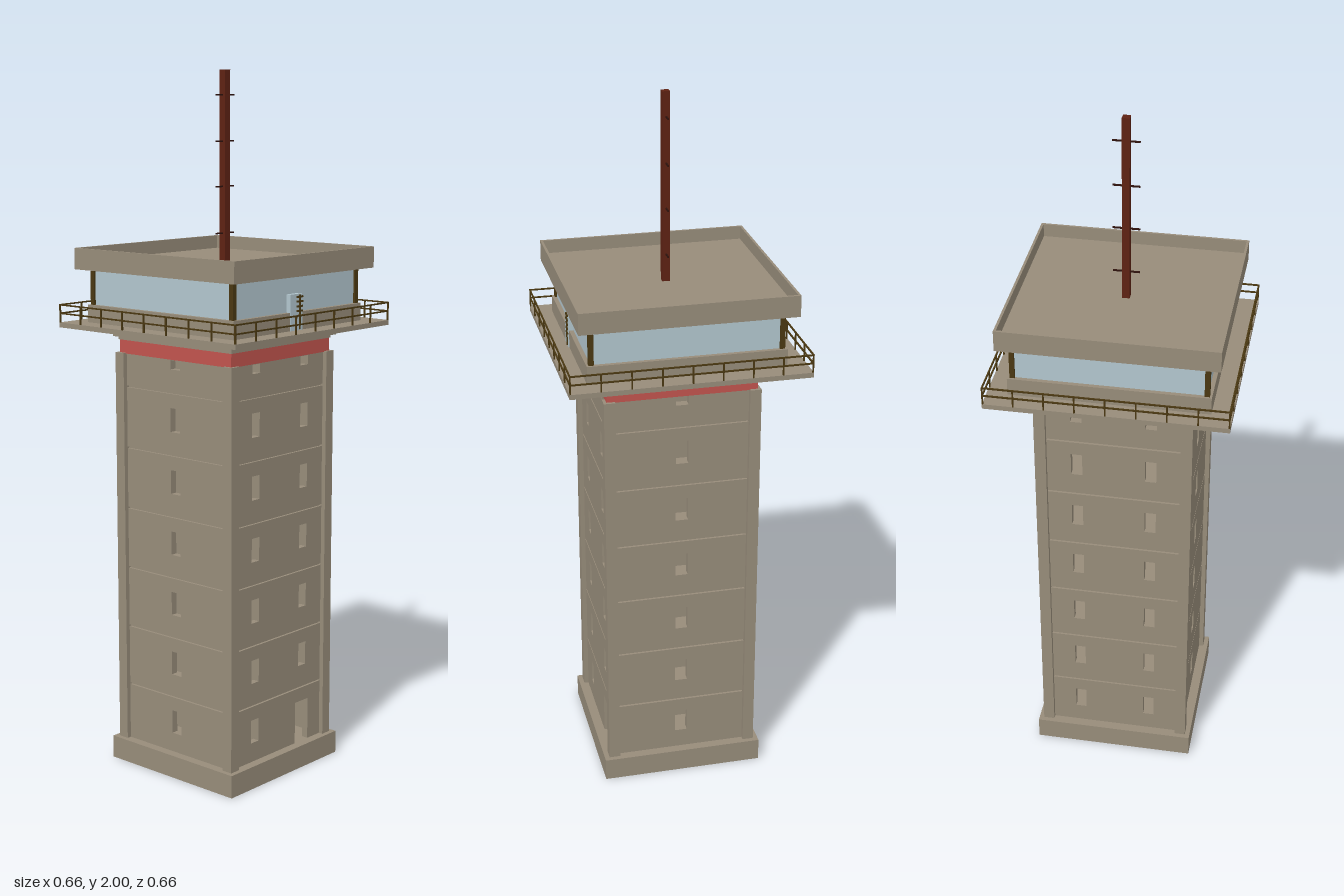
import * as THREE from 'three';

const mat = (name, color) => {
  const m = new THREE.MeshStandardMaterial({ color });
  m.name = name;
  return m;
};

export function createModel() {
  const concrete = mat('concrete', 0x978c7a);
  const red = mat('red band', 0xc2544e);
  const glass = mat('glass', 0xb2c6ce);
  const bronze = mat('bronze metal', 0x4a3812);
  const rust = mat('mast paint', 0x5e2213);
  const dark = mat('dark metal', 0x2e120c);

  const model = new THREE.Group();
  model.name = 'controlTower';

  function box(name, material, w, h, d, x, y, z, parent = model) {
    const m = new THREE.Mesh(new THREE.BoxGeometry(w, h, d), material);
    m.name = name;
    m.position.set(x, y, z);
    parent.add(m);
    return m;
  }
  // Square slab centred on the axis, from y0 to y1
  const slab = (name, material, half, y0, y1) =>
    box(name, material, half * 2, y1 - y0, half * 2, 0, (y0 + y1) / 2, 0);

  const rect = (T, x0, x1, y0, y1) => {
    const p = new T();
    p.moveTo(x0, y0);
    p.lineTo(x1, y0);
    p.lineTo(x1, y1);
    p.lineTo(x0, y1);
    p.closePath();
    return p;
  };

  // Base plinth and corner pillars
  slab('plinth', concrete, 0.234, 0, 0.066);
  for (const sx of [-1, 1]) for (const sz of [-1, 1])
    box('cornerPillar', concrete, 0.032, 1.148, 0.032, sx * 0.204, 0.64, sz * 0.204);

  // Storey wall panels with window openings, separated by narrow grooves
  const FLOOR = 0.177, FLOORS = 7, WALL = 0.207, DEPTH = 0.02;
  for (let side = 0; side < 4; side++) {
    const face = new THREE.Group();
    face.name = ['frontWall', 'leftWall', 'backWall', 'rightWall'][side];
    face.rotation.y = side * Math.PI / 2;
    model.add(face);
    const columns = side % 2 ? [0] : [-0.104, 0.104];
    for (let k = 0; k < FLOORS; k++) {
      const y0 = 0.058 + k * FLOOR, y1 = Math.min(y0 + FLOOR - 0.005, 1.213);
      const shape = rect(THREE.Shape, -0.19, 0.19, y0, y1);
      for (const x of columns) {
        const door = side === 0 && k === 0 && x > 0;
        const half = door ? 0.029 : side % 2 ? 0.018 : 0.016;
        const bottom = door ? 0.06 : y0 + 0.064;
        shape.holes.push(rect(THREE.Path, x - half, x + half, bottom, Math.min(y0 + 0.132, 1.21)));
      }
      const geo = new THREE.ExtrudeGeometry(shape, { depth: DEPTH, bevelEnabled: false });
      const panel = new THREE.Mesh(geo, concrete);
      panel.name = 'wallPanel';
      panel.position.z = WALL - DEPTH;
      face.add(panel);
    }
  }

  // Floors, inner partitions and stairs
  for (let k = 1; k < FLOORS; k++)
    slab('floor', concrete, 0.2, 0.05 + k * FLOOR, 0.062 + k * FLOOR);
  for (const x of [-0.045, 0.045])
    box('partition', concrete, 0.012, 1.15, 0.37, x, 0.635, 0);
  for (let k = 0; k < FLOORS - 1; k++)
    for (let s = 0; s < 6; s++)
      box('stair', concrete, 0.022, 0.014, 0.08, -0.165 + s * 0.022, 0.08 + k * FLOOR + s * 0.022, 0.02);

  // Red band, stepped corbel and gallery deck
  slab('redBand', red, 0.211, 1.212, 1.251);
  [0.214, 0.225, 0.237, 0.248].forEach((half, i) =>
    slab('corbelStep', concrete, half, 1.251 + i * 0.009, 1.26 + i * 0.009));
  slab('galleryDeck', concrete, 0.331, 1.286, 1.3);

  // Gallery railing
  const R = 0.329, T = 0.004;
  for (let side = 0; side < 4; side++) {
    const rail = new THREE.Group();
    rail.name = 'railing';
    rail.rotation.y = side * Math.PI / 2;
    model.add(rail);
    for (const y of [1.326, 1.35])
      box('handrail', bronze, R * 2 + T, T, T, 0, y, R, rail);
    for (let i = 0; i < 8; i++)
      box('railPost', bronze, T, 0.05, T, -R + i * R / 4, 1.325, R, rail);
  }

  // Glazed cabin with low wall and corner posts
  slab('cabinSill', concrete, 0.274, 1.3, 1.35);
  slab('cabinGlazing', glass, 0.262, 1.35, 1.452);
  for (const sx of [-1, 1]) for (const sz of [-1, 1])
    box('cabinPost', bronze, 0.014, 0.102, 0.014, sx * 0.261, 1.401, sz * 0.261);

  // Cabin door with its slatted panel
  box('cabinDoor', glass, 0.052, 0.1, 0.014, -0.016, 1.35, 0.269);
  for (let i = 0; i < 5; i++)
    box('doorSlat', bronze, 0.024, 0.005, 0.005, -0.004, 1.34 + i * 0.013, 0.277);
  box('doorStile', bronze, 0.004, 0.095, 0.005, -0.004, 1.35, 0.277);

  // Roof slab with parapet
  slab('roofSlab', concrete, 0.299, 1.45, 1.472);
  const parapetShape = rect(THREE.Shape, -0.299, 0.299, -0.299, 0.299);
  parapetShape.holes.push(rect(THREE.Path, -0.292, 0.292, -0.292, 0.292));
  const parapet = new THREE.Mesh(
    new THREE.ExtrudeGeometry(parapetShape, { depth: 0.038, bevelEnabled: false }), concrete);
  parapet.name = 'parapet';
  parapet.rotation.x = -Math.PI / 2;
  parapet.position.y = 1.472;
  model.add(parapet);

  // Antenna mast with crossbars
  box('mast', rust, 0.021, 0.53, 0.021, 0, 1.735, 0);
  for (const y of [1.55, 1.68, 1.805, 1.932])
    box('mastCrossbar', dark, 0.074, 0.004, 0.004, 0, y, 0);

  return model;
}
